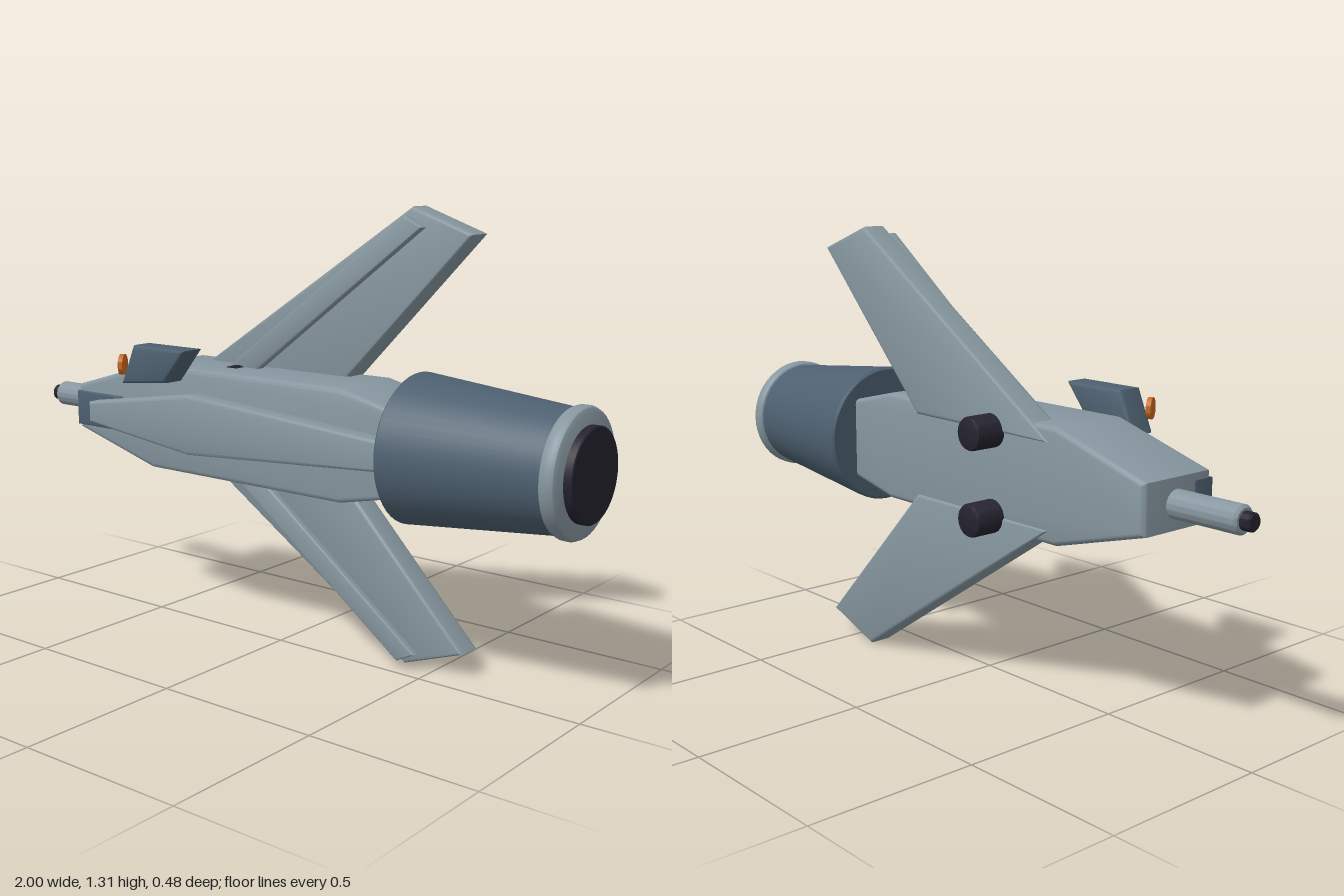
import * as THREE from 'three';
import { toCreasedNormals } from 'three/addons/utils/BufferGeometryUtils.js';

const AXIS_Y = 0.66, AXIS_Z = -0.028;

function material(name, color) {
  const m = new THREE.MeshStandardMaterial({ color });
  m.name = name;
  return m;
}

// Bevelled slab: outline in x/y, filling z0..z1 including its bevels
function slab(points, z0, z1, bevel) {
  const shape = new THREE.Shape(points.map(([x, y]) => new THREE.Vector2(x, y)));
  const geo = new THREE.ExtrudeGeometry(shape, {
    depth: z1 - z0 - 2 * bevel, bevelEnabled: true, bevelThickness: bevel,
    bevelSize: bevel, bevelOffset: -bevel, bevelSegments: 3,
  });
  geo.translate(0, 0, z0 + bevel);
  return toCreasedNormals(geo, 0.6);
}

// Turned part along the x axis from [x, radius] pairs
function turned(profile, segments = 48) {
  const geo = new THREE.LatheGeometry(profile.map(([x, r]) => new THREE.Vector2(r, x)), segments);
  geo.rotateZ(-Math.PI / 2);
  return toCreasedNormals(geo, 0.6);
}

export function createModel() {
  const group = new THREE.Group();
  const hullGrey = material('hull grey', 0x8797a0);
  const slate = material('slate blue', 0x4d6070);
  const black = material('near black', 0x24222e);
  const orange = material('orange', 0xc66a20);

  const add = (name, geo, mat, x = 0, y = 0, z = 0) => {
    const mesh = new THREE.Mesh(geo, mat);
    mesh.name = name;
    mesh.position.set(x, y, z);
    group.add(mesh);
    return mesh;
  };
  const addTurned = (name, profile, mat) => add(name, turned(profile), mat, 0, AXIS_Y, AXIS_Z);

  // Fuselage, raised side panel and nose plate
  add('fuselage', slab([[-0.75, 0.59], [-0.43, 0.5], [0.29, 0.5], [0.52, 0.55],
    [0.52, 0.77], [0.29, 0.825], [-0.43, 0.825], [-0.75, 0.73]], -0.15, 0.105, 0.015), hullGrey);
  add('sidePanel', slab([[-0.65, 0.625], [-0.23, 0.575], [0.5, 0.625],
    [0.5, 0.705], [-0.23, 0.755], [-0.65, 0.69]], 0.09, 0.16, 0.01), hullGrey);
  add('nosePlate', slab([[-0.752, 0.6], [-0.55, 0.6], [-0.55, 0.71], [-0.752, 0.71]],
    0.04, 0.112, 0.006), slate);

  // Engine, nozzle ring and exhaust
  addTurned('engine', [[0.46, 0], [0.46, 0.205], [0.467, 0.212], [0.94, 0.165], [0.94, 0]], slate);
  addTurned('nozzleRing', [[0.925, 0], [0.925, 0.16], [0.931, 0.171], [0.942, 0.176],
    [0.96, 0.176], [0.97, 0.171], [0.976, 0.16], [0.976, 0]], hullGrey);
  addTurned('exhaust', [[0.97, 0], [0.97, 0.128], [0.997, 0.128], [1, 0.125], [1, 0]], black);

  // Nose probe
  addTurned('probe', [[-0.97, 0], [-0.97, 0.032], [-0.962, 0.039], [-0.74, 0.039], [-0.74, 0]], hullGrey);
  addTurned('probeTip', [[-1, 0], [-1, 0.02], [-0.995, 0.025], [-0.96, 0.025], [-0.96, 0]], black);

  // Swept wings, thin wing strips and pivot pins, mirrored above and below the axis
  const wing = [[-0.41, 0.78], [0.15, 0.78], [0.595, 1.245], [0.4, 1.315]];
  const strip = [[-0.28, 0.78], [-0.165, 0.78], [0.465, 1.262], [0.405, 1.292]];
  const pin = turned([[-0.01, 0], [-0.01, 0.048], [0.232, 0.048], [0.238, 0.045],
    [0.241, 0.038], [0.241, 0]], 24).rotateY(Math.PI / 2);
  for (const [label, s] of [['upper', 1], ['lower', -1]]) {
    const mirror = pts => pts.map(([x, y]) => [x, AXIS_Y + s * (y - AXIS_Y)]);
    add(label + 'Wing', slab(mirror(wing), -0.156, -0.072, 0.012), hullGrey);
    add(label + 'WingStrip', slab(mirror(strip), -0.052, -0.024, 0.006), hullGrey);
    add(label + 'PivotPin', pin, black, -0.183, AXIS_Y + s * 0.122, 0);
  }

  // Sensor pod with angled lens
  add('sensorPod', slab([[-0.463, 0.772], [-0.285, 0.79], [-0.203, 0.893], [-0.412, 0.893]],
    0.113, 0.197, 0.012), slate);
  const disc = toCreasedNormals(new THREE.CylinderGeometry(0.031, 0.031, 0.014, 24).rotateZ(Math.PI / 2), 0.6);
  add('lens', disc, orange, -0.438, 0.835, 0.212).rotation.y = 0.5;

  return group;
}
